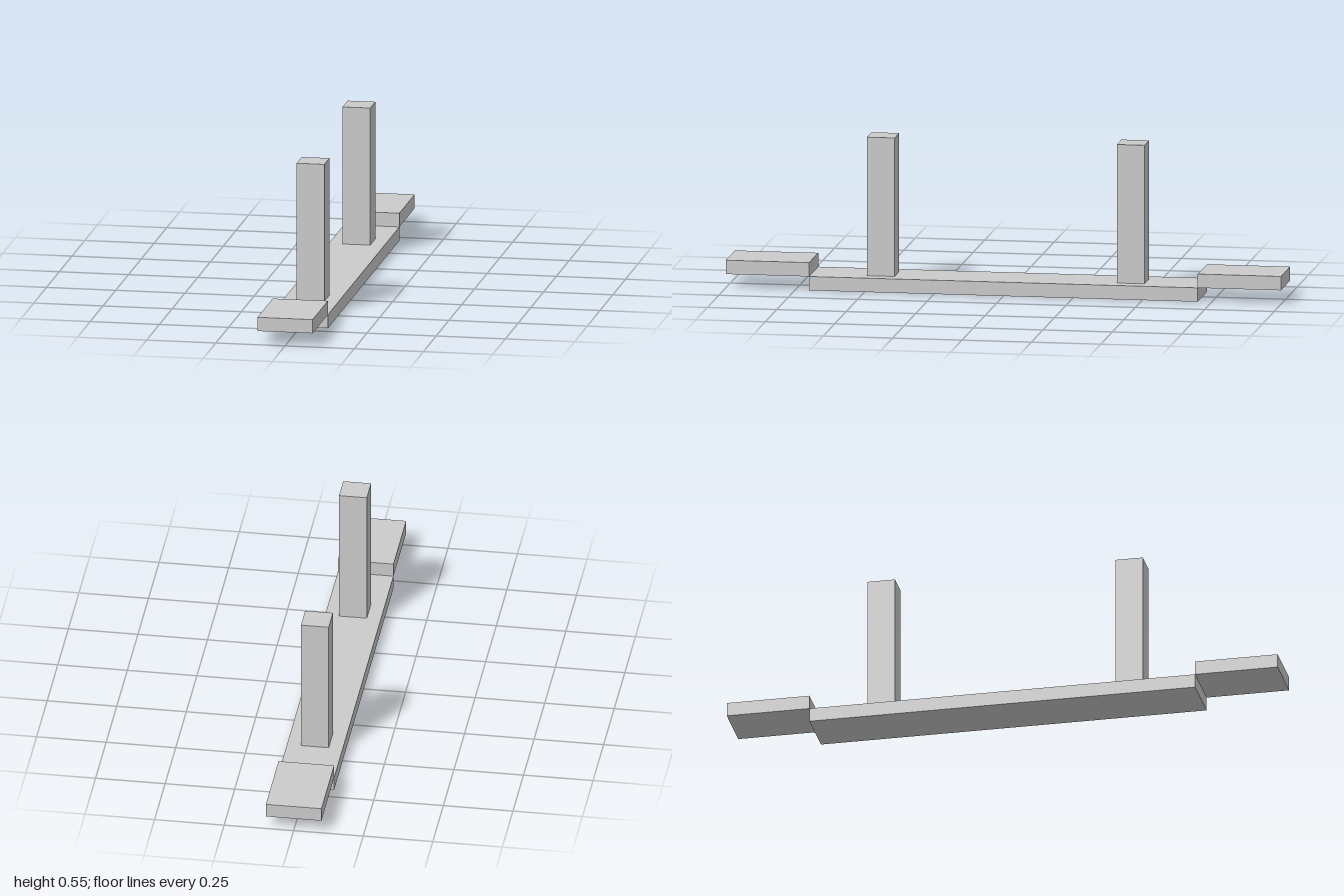
import * as THREE from 'three';

export function createModel() {
  const model = new THREE.Group();
  const material = new THREE.MeshStandardMaterial({ color: 0xcccccc, flatShading: true });

  // Box resting with its underside at height y, centred on x = 0
  const addBox = (name, width, height, depth, y, z) => {
    const mesh = new THREE.Mesh(new THREE.BoxGeometry(width, height, depth), material);
    mesh.name = name;
    mesh.position.set(0, y + height / 2, z);
    model.add(mesh);
  };

  // Long plank on the ground
  addBox('basePlank', 0.2, 0.05, 1.4, 0, 0);

  // Upright post and raised end plate, mirrored front to back
  for (const [end, side] of [['front', 1], ['back', -1]]) {
    addBox(end + 'Post', 0.1, 0.5, 0.1, 0.05, side * 0.45);
    addBox(end + 'EndPlate', 0.2, 0.05, 0.3, 0.05, side * 0.85);
  }

  return model;
}
